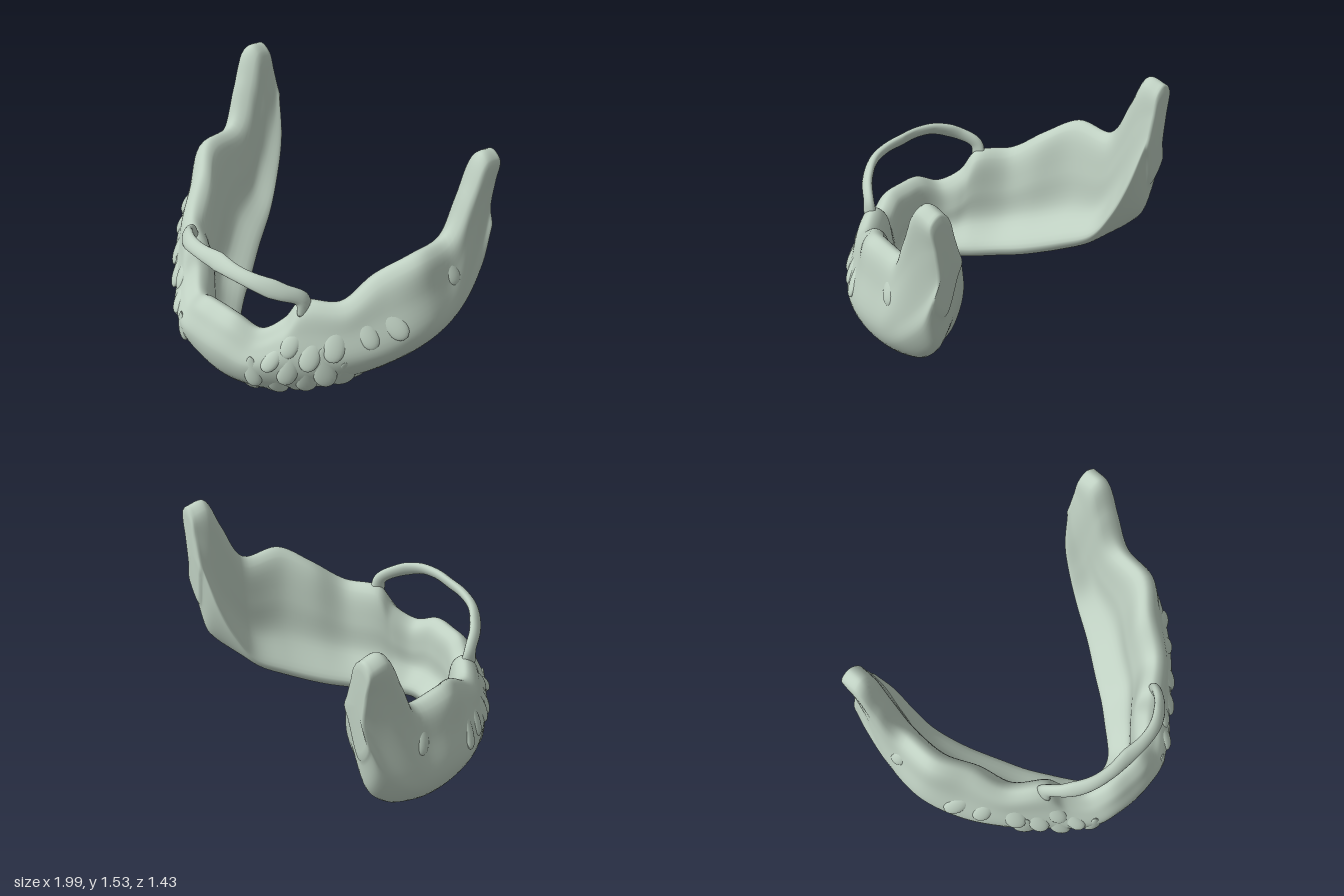
import * as THREE from 'three';

const V = (p) => new THREE.Vector3(...p);
const N = 11; // stations per side, from chin centre (0) to back of sideburn (11)

// Rails for the left half, mirrored into one curve from right end to left end
function rail(points) {
  const half = points.map(V);
  const mirrored = half.slice(1).reverse().map((p) => new THREE.Vector3(-p.x, p.y, p.z));
  return new THREE.CatmullRomCurve3([...mirrored, ...half], false, 'centripetal');
}
const top = rail([[0, 0.635, 0.58], [0.12, 0.628, 0.575], [0.25, 0.565, 0.52], [0.35, 0.64, 0.425], [0.43, 0.78, 0.36],
  [0.61, 0.79, 0.22], [0.71, 0.94, 0.04], [0.83, 1.05, -0.13], [0.85, 1.06, -0.37], [0.87, 1.31, -0.49],
  [0.885, 1.52, -0.585], [0.89, 1.51, -0.69]]);
const outer = rail([[0, 0.4, 0.71], [0.13, 0.395, 0.7], [0.26, 0.38, 0.67], [0.39, 0.4, 0.59], [0.5, 0.42, 0.49],
  [0.71, 0.45, 0.3], [0.87, 0.5, 0.1], [0.98, 0.58, -0.13], [0.997, 0.62, -0.32], [0.98, 0.75, -0.47],
  [0.94, 0.95, -0.62], [0.92, 1.1, -0.7]]);
const bottom = rail([[0, 0, 0.48], [0.12, 0.015, 0.465], [0.24, 0.04, 0.43], [0.32, 0.06, 0.38], [0.4, 0.08, 0.32],
  [0.53, 0.12, 0.15], [0.61, 0.14, 0], [0.73, 0.21, -0.22], [0.81, 0.33, -0.4], [0.86, 0.45, -0.54],
  [0.87, 0.6, -0.65], [0.86, 0.83, -0.69]]);
const lip = rail([[0, 0.15, 0.39], [0.065, 0.155, 0.38], [0.13, 0.16, 0.34], [0.18, 0.17, 0.28], [0.23, 0.18, 0.21],
  [0.33, 0.21, 0.07], [0.41, 0.25, -0.07], [0.53, 0.34, -0.28], [0.61, 0.45, -0.46], [0.65, 0.64, -0.57],
  [0.69, 0.9, -0.66], [0.75, 1.15, -0.705]]);

// Closed cross-section at station s: top, outside, underside, rounded inner lip, inside wall
function section(s) {
  const t = (s + N) / (2 * N);
  const [T, O, B, L] = [top, outer, bottom, lip].map((r) => r.getPoint(t));
  const n = O.clone().sub(L).setY(0);
  const fade = 1 - Math.abs(s / N) ** 4;
  const hollow = n.length() * fade;
  n.normalize();
  const at = (a, b, k, push, dy = 0) => {
    const p = a.clone().lerp(b, k).addScaledVector(n, push);
    p.y += dy;
    return p;
  };
  const rim = at(T, T, 0, -0.06, -0.045);
  return new THREE.CatmullRomCurve3([
    T, at(T, T, 0, 0.06, -0.045), at(T, O, 0.5, 0.03), O, at(O, B, 0.5, 0.06), B,
    at(L, B, 0.25 * (1 - fade), 0.035 * fade, -0.085 * fade), L,
    at(L, rim, 0.25, hollow * 0.22), at(L, rim, 0.62, hollow * 0.09), rim,
  ], true, 'centripetal');
}

// Skin over rings, closed at both ends
function loft(rings) {
  const m = rings[0].length;
  const pos = [];
  const index = [];
  rings.forEach((ring) => ring.forEach((p) => pos.push(p.x, Math.max(0, p.y), p.z)));
  for (let i = 0; i < rings.length - 1; i++) {
    for (let j = 0; j < m; j++) {
      const a = i * m + j, b = i * m + (j + 1) % m;
      index.push(a, b, a + m, b, b + m, a + m);
    }
  }
  [0, rings.length - 1].forEach((i) => {
    const c = centroid(rings[i]);
    const k = pos.length / 3;
    pos.push(c.x, c.y, c.z);
    for (let j = 0; j < m; j++) {
      const a = i * m + j, b = i * m + (j + 1) % m;
      if (i === 0) index.push(k, b, a);
      else index.push(k, a, b);
    }
  });
  const g = new THREE.BufferGeometry();
  g.setAttribute('position', new THREE.Float32BufferAttribute(pos, 3));
  g.setIndex(index);
  g.computeVertexNormals();
  return g;
}
const centroid = (ring) => ring.reduce((c, p) => c.add(p), new THREE.Vector3()).divideScalar(ring.length);
const shrink = (ring, k, dz) => {
  const c = centroid(ring);
  return ring.map((p) => c.clone().lerp(p, k).add(new THREE.Vector3(0, 0, dz)));
};

function beardGeometry() {
  const rings = [];
  for (let i = -77; i <= 77; i++) rings.push(section(i * N / 77).getPoints(66).slice(0, 66));
  // Soft rounding at the back edges
  for (const [k, dz] of [[0.96, -0.01], [0.85, -0.005]]) {
    rings.unshift(shrink(rings[0], k, dz));
    rings.push(shrink(rings[rings.length - 1], k, dz));
  }
  return loft(rings);
}

// Thin slanted band arching over the mouth opening, with a slightly uneven edge
function moustacheGeometry() {
  const path = rail([[0, 0.96, 0.585], [0.13, 0.956, 0.585], [0.26, 0.938, 0.555], [0.38, 0.888, 0.475],
    [0.45, 0.825, 0.385], [0.46, 0.73, 0.365]]);
  const slant = new THREE.Vector3(0, 0.84, -0.54);
  const rings = [];
  for (let i = 0; i <= 72; i++) {
    const t = i / 72;
    const p = path.getPoint(t);
    const along = path.getTangent(t);
    const across = slant.clone().addScaledVector(along, -along.dot(slant)).normalize();
    const out = along.clone().cross(across).normalize();
    // Wavy along its length
    const h = 0.058 - 0.012 * Math.abs(Math.sin(6 * (2 * t - 1)));
    rings.push(Array.from({ length: 16 }, (_, j) => {
      const a = j / 16 * Math.PI * 2;
      return p.clone().addScaledVector(across, h * Math.cos(a)).addScaledVector(out, 0.028 * Math.sin(a));
    }));
  }
  return loft(rings);
}

// Lock of hair: flattened, rounded at the lower end and thin at the root
function lockGeometry() {
  const g = new THREE.SphereGeometry(1, 20, 16);
  const p = g.attributes.position;
  for (let i = 0; i < p.count; i++) {
    const k = 0.75 - 0.3 * p.getY(i);
    p.setX(i, p.getX(i) * k);
    p.setZ(i, p.getZ(i) * k);
  }
  g.computeVertexNormals();
  return g;
}

export function createModel() {
  const group = new THREE.Group();
  const material = new THREE.MeshStandardMaterial({ color: 0xbfd0c2 });
  const add = (name, geometry) => {
    const mesh = new THREE.Mesh(geometry, material);
    mesh.name = name;
    group.add(mesh);
    return mesh;
  };
  add('beard', beardGeometry());
  add('moustache', moustacheGeometry());

  // Locks: station along the jaw, place around the section (out of 11), half length, sideways lean
  const locks = [
    [2.3, 3.3, 0.12, 0.1], [3.1, 2.5, 0.11, 0.5], [3.8, 2.1, 0.12, 0.4], [3, 4.1, 0.14, 0.1], [3.8, 3.1, 0.14, 0.3],
    [4.35, 2.5, 0.14, 0.2], [4.8, 2.1, 0.15, 0.1], [4.2, 3.9, 0.15, 0.1], [4.6, 3.3, 0.16, 0], [5, 4, 0.17, 0],
    [4.5, 4.5, 0.14, 0], [3.8, 4.6, 0.13, 0], [2.4, 4.6, 0.12, 0], [1.2, 4.6, 0.1, 0], [5.5, 4.5, 0.14, 0],
    [5.5, 2.1, 0.13, -0.3], [6.1, 2.2, 0.14, -0.5], [8, 1.8, 0.11, -0.3], [6.3, 4.6, 0.12, 0],
  ];
  const shape = lockGeometry();
  for (const side of [1, -1]) {
    for (const [s, v, size, lean] of locks) {
      const curve = section(s * side);
      const p = curve.getPoint(v / 11);
      const up = curve.getPoint(v / 11 - 0.01).sub(curve.getPoint(v / 11 + 0.01)).normalize();
      const along = section(s * side + 0.05).getPoint(v / 11).sub(section(s * side - 0.05).getPoint(v / 11)).normalize();
      const normal = along.clone().cross(up).normalize();
      up.addScaledVector(along, lean * side).addScaledVector(normal, -0.12).normalize();
      const right = up.clone().cross(normal).normalize();
      normal.crossVectors(right, up);
      const lock = add(side > 0 ? 'leftLock' : 'rightLock', shape);
      lock.quaternion.setFromRotationMatrix(new THREE.Matrix4().makeBasis(right, up, normal));
      lock.position.copy(p).addScaledVector(normal, -0.018);
      lock.position.y = Math.max(lock.position.y, 0.08);
      lock.scale.set(size * 0.55, size, 0.034);
    }
  }
  return group;
}
